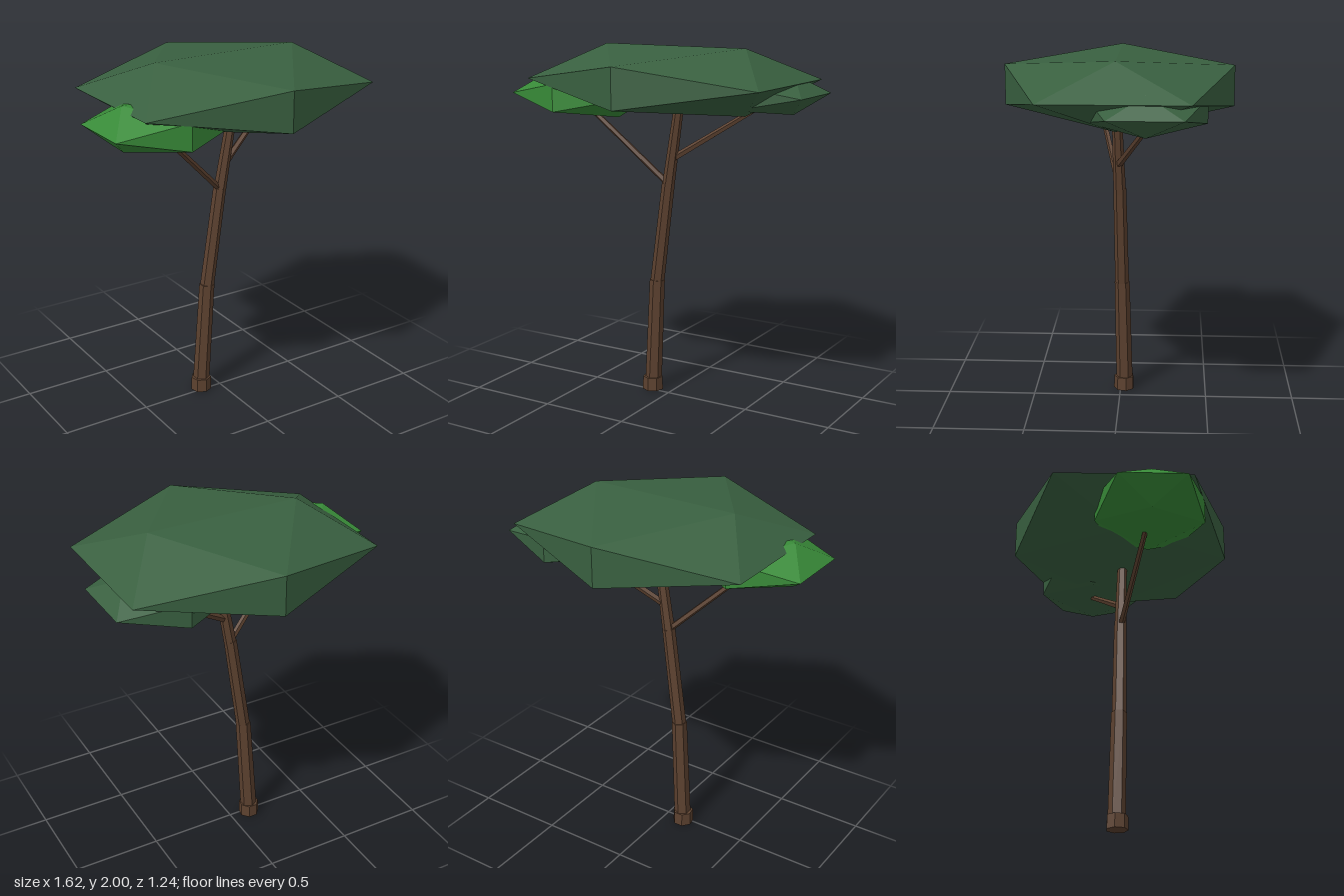
import * as THREE from 'three';

const bark = new THREE.MeshStandardMaterial({ color: 0x5c412f, flatShading: true });
bark.name = 'bark brown';
const darkLeaf = new THREE.MeshStandardMaterial({ color: 0x396040, flatShading: true });
darkLeaf.name = 'dark leaf green';
const brightLeaf = new THREE.MeshStandardMaterial({ color: 0x388a38, flatShading: true });
brightLeaf.name = 'bright leaf green';

// Tapered low-poly limb running between two points
function limb(name, from, to, r0, r1, sides) {
  const a = new THREE.Vector3(...from);
  const b = new THREE.Vector3(...to);
  const dir = b.clone().sub(a);
  const mesh = new THREE.Mesh(new THREE.CylinderGeometry(r1, r0, dir.length(), sides), bark);
  mesh.position.copy(a).add(b).multiplyScalar(0.5);
  mesh.quaternion.setFromUnitVectors(new THREE.Vector3(0, 1, 0), dir.normalize());
  mesh.name = name;
  return mesh;
}

// Flattened faceted clump of leaves
function clump(name, center, radii, material) {
  const geometry = new THREE.IcosahedronGeometry(1, 0).scale(...radii);
  const mesh = new THREE.Mesh(geometry, material);
  mesh.position.set(...center);
  mesh.name = name;
  return mesh;
}

export function createModel() {
  const tree = new THREE.Group();
  tree.name = 'tree';

  // Leaning trunk in three tapering sections on a short root collar
  tree.add(
    limb('rootCollar', [-0.117, 0, -0.021], [-0.117, 0.077, -0.021], 0.06, 0.058, 7),
    limb('lowerTrunk', [-0.117, 0.01, -0.024], [-0.08, 0.67, -0.01], 0.048, 0.043, 6),
    limb('middleTrunk', [-0.082, 0.64, -0.01], [0, 1.24, 0], 0.04, 0.036, 6),
    limb('upperTrunk', [-0.003, 1.21, 0], [0.077, 1.69, 0.013], 0.035, 0.027, 6)
  );

  // Side branches
  tree.add(
    limb('rightBranch', [0, 1.235, 0], [-0.45, 1.67, 0.14], 0.018, 0.015, 5),
    limb('leftBranch', [0.03, 1.38, 0.005], [0.47, 1.675, -0.17], 0.02, 0.015, 5)
  );

  // Canopy
  tree.add(
    clump('mainCanopy', [0.036, 1.821, 0], [0.828, 0.21, 0.73], darkLeaf),
    clump('rightCanopy', [-0.45, 1.731, 0.15], [0.423, 0.142, 0.36], brightLeaf),
    clump('leftCanopy', [0.47, 1.755, -0.157], [0.4, 0.125, 0.366], darkLeaf)
  );
  return tree;
}
